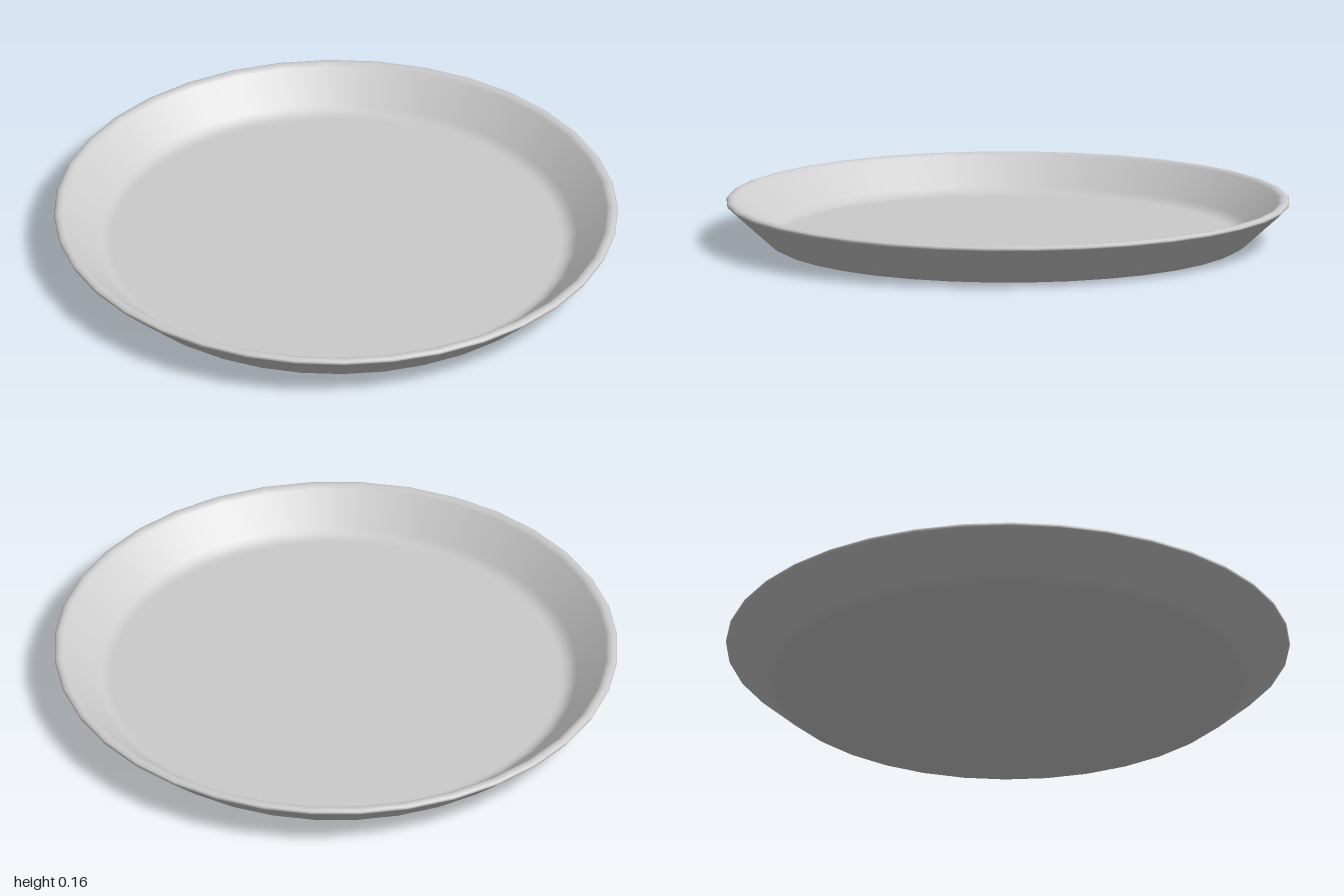
import * as THREE from 'three';

const SEGMENTS = 36;

export function createModel() {
  const group = new THREE.Group();
  group.name = 'plate';
  const material = new THREE.MeshStandardMaterial({ color: 0xcccccc });

  // Turned part from [radius, height] pairs
  const addLathe = (name, profile) => {
    const points = profile.map(([r, y]) => new THREE.Vector2(r, y));
    const mesh = new THREE.Mesh(new THREE.LatheGeometry(points, SEGMENTS), material);
    mesh.name = name;
    group.add(mesh);
  };

  // Flat underside, separate so its edge stays sharp
  addLathe('base', [[0, 0], [0.83, 0]]);

  // Sloping wall with rounded lip, running smoothly into the recessed floor
  addLathe('dish', [
    [0.83, 0], [0.845, 0.007], [0.865, 0.022],
    [0.985, 0.13], [0.997, 0.141], [1, 0.147], [0.996, 0.153], [0.985, 0.157],
    [0.972, 0.156], [0.96, 0.149],
    [0.855, 0.052], [0.838, 0.039], [0.82, 0.032], [0.8, 0.03], [0, 0.03],
  ]);

  return group;
}
